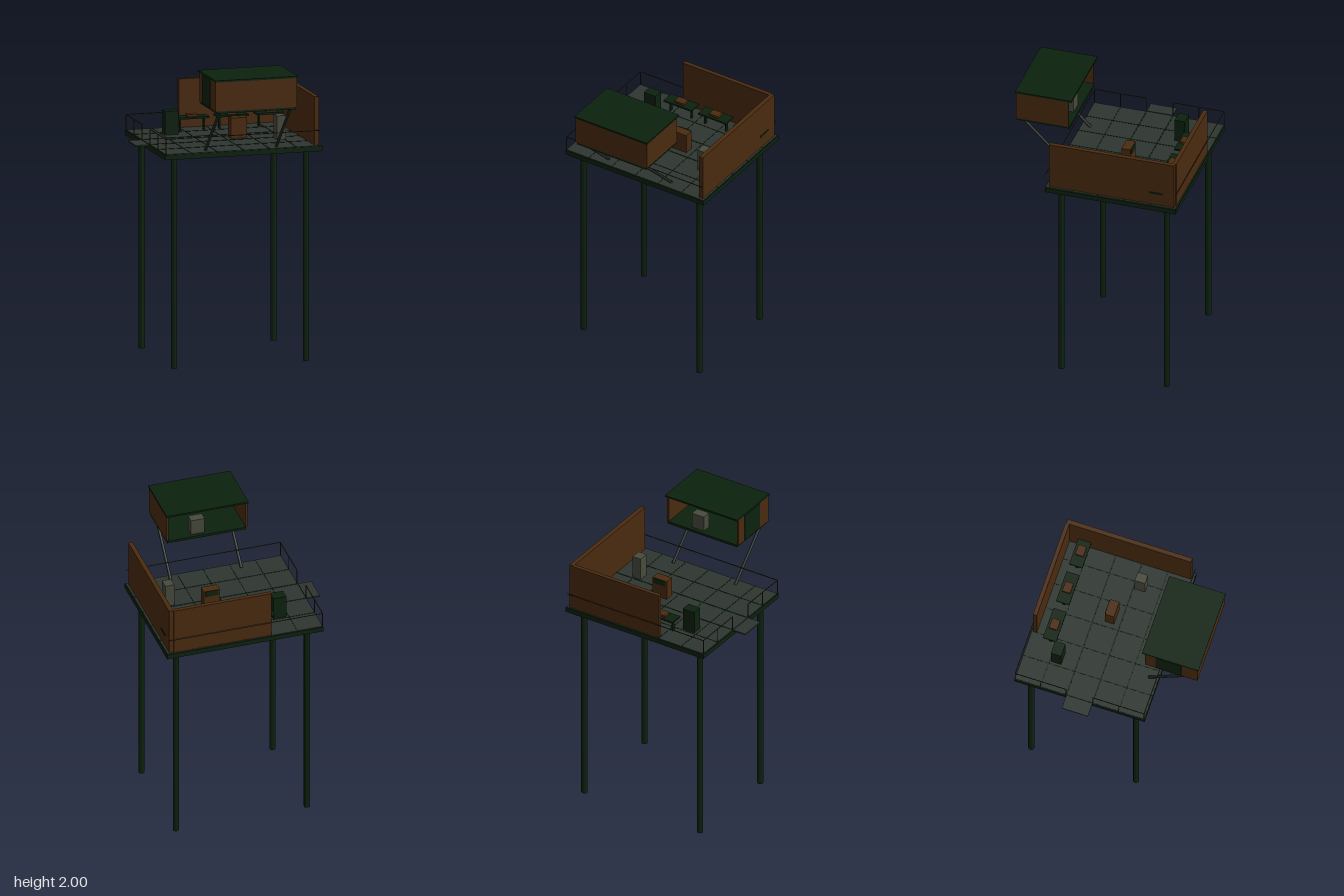
import * as THREE from 'three';

const mat = (name, color) => {
  const m = new THREE.MeshStandardMaterial({ color });
  m.name = name;
  return m;
};

export function createModel() {
  const green = mat('dark green', 0x0c210e);
  const floorGrey = mat('floor grey', 0x2e352f);
  const brown = mat('rust brown', 0x4a2b0f);
  const railBrown = mat('rail brown', 0x38220f);
  const grey = mat('warm grey', 0x484a3c);
  const steel = mat('strut grey', 0x1f2822);

  const root = new THREE.Group();
  root.name = 'stiltPlatform';

  // Box given by its lower and upper limits on each axis
  const box = (name, m, x0, x1, y0, y1, z0, z1, parent = root) => {
    const mesh = new THREE.Mesh(new THREE.BoxGeometry(x1 - x0, y1 - y0, z1 - z0), m);
    mesh.position.set((x0 + x1) / 2, (y0 + y1) / 2, (z0 + z1) / 2);
    mesh.name = name;
    parent.add(mesh);
    return mesh;
  };
  // Round bar between two points
  const bar = (name, m, a, b, r, sides = 8) => {
    const p = new THREE.Vector3(...a), q = new THREE.Vector3(...b);
    const d = q.clone().sub(p);
    const mesh = new THREE.Mesh(new THREE.CylinderGeometry(r, r, d.length(), sides), m);
    mesh.position.copy(p).add(q).multiplyScalar(0.5);
    mesh.quaternion.setFromUnitVectors(new THREE.Vector3(0, 1, 0), d.normalize());
    mesh.name = name;
    root.add(mesh);
  };

  // Legs
  for (const x of [-0.413, 0.5])
    for (const z of [-0.51, 0.222]) bar('leg', green, [x, 0, z], [x, 1.43, z], 0.021, 12);

  // Deck, floor plate and seams
  const D = 1.462;
  box('deck', green, -0.5, 0.59, 1.425, 1.458, -0.6, 0.31);
  box('floor', floorGrey, -0.494, 0.584, 1.458, D, -0.594, 0.304);
  for (const x of [-0.32, -0.14, 0.045, 0.225, 0.41])
    box('floorSeam', green, x - 0.002, x + 0.002, D, D + 0.002, -0.594, 0.304);
  for (const [z, w] of [[-0.42, 0.002], [-0.238, 0.004], [-0.056, 0.004], [0.125, 0.002]])
    box('floorSeam', green, -0.494, 0.584, D, D + 0.002, z - w, z + w);
  box('landing', floorGrey, -0.593, -0.5, 1.453, 1.462, -0.237, -0.055);

  // Two tall walls
  box('backWall', brown, -0.14, 0.54, D, 1.79, -0.59, -0.562);
  box('sideWall', brown, 0.54, 0.57, D, 1.79, -0.583, 0.288);

  // Thin railing with a gap at the landing
  const H = 1.565, r = 0.003, X = -0.495;
  const rails = [
    [[X, -0.595], [0.58, -0.595]],
    [[X, 0.305], [0.58, 0.305]],
    [[X, -0.595], [X, -0.24]],
    [[X, -0.053], [X, 0.305]],
  ];
  for (const [a, b] of rails)
    bar('rail', railBrown, [a[0], H, a[1]], [b[0], H, b[1]], r, 6);
  for (const z of [-0.595, -0.42, -0.24, -0.053, 0.125, 0.305])
    bar('railPost', railBrown, [X, D, z], [X, H, z], r, 6);

  // Three tables with a tray on each
  for (const x of [-0.083, 0.19, 0.464]) {
    const table = new THREE.Group();
    table.name = 'table';
    root.add(table);
    box('tableTop', green, x - 0.11, x + 0.11, 1.545, 1.557, -0.502, -0.41, table);
    for (const s of [-0.082, 0.082])
      box('tableLeg', green, x + s - 0.005, x + s + 0.005, D, 1.545, -0.466, -0.446, table);
    box('tray', brown, x - 0.036, x + 0.036, 1.557, 1.572, -0.484, -0.428, table);
  }

  // Cabinets standing on the deck
  box('greenCabinet', green, -0.303, -0.212, D, 1.622, -0.41, -0.338);
  box('brownCounter', brown, 0.078, 0.19, D, 1.6, -0.158, -0.096);
  box('counterBack', green, 0.09, 0.178, 1.56, 1.602, -0.163, -0.158);
  box('greyCabinet', grey, 0.358, 0.421, D, 1.622, -0.045, 0.027);

  // Raised cabin, open towards the deck
  const cabin = new THREE.Group();
  cabin.name = 'cabin';
  root.add(cabin);
  box('cabinFloor', green, -0.23, 0.32, 1.775, 1.792, 0.222, 0.59, cabin);
  box('cabinRoof', green, -0.242, 0.33, 1.988, 2.0, 0.206, 0.6, cabin);
  box('cabinFront', brown, -0.24, 0.325, 1.79, 1.988, 0.578, 0.592, cabin);
  for (const x of [-0.24, 0.311])
    box('cabinSide', brown, x, x + 0.014, 1.79, 1.988, 0.228, 0.578, cabin);
  box('cabinDoor', green, -0.243, -0.24, 1.795, 1.985, 0.3, 0.48, cabin);
  box('cabinConsole', grey, 0.05, 0.145, 1.792, 1.9, 0.25, 0.315, cabin);

  // Slanted struts carrying the cabin
  for (const x of [-0.203, 0.289])
    bar('strut', steel, [x, 1.463, 0.242], [x, 1.78, 0.562], 0.01, 8);

  return root;
}
